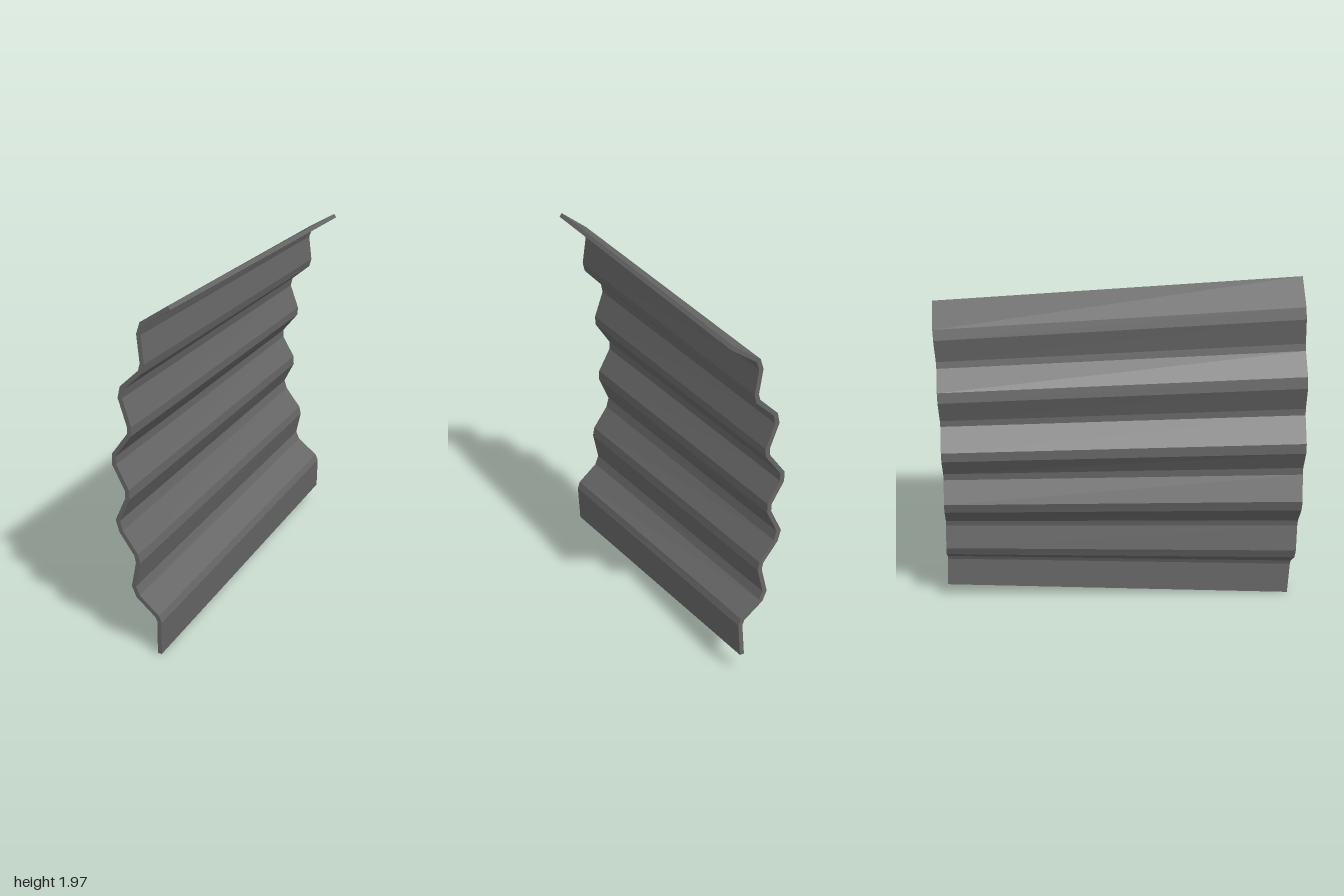
import * as THREE from 'three';

// Front-end profile of the sheet's +x face, from the bottom edge to the top edge
const PROFILE = [
  [0.082, 0.003], [0.09, 0.2], [0.075, 0.24], [-0.035, 0.335], [-0.055, 0.385],
  [-0.025, 0.53], [-0.035, 0.58], [-0.12, 0.7], [-0.135, 0.755], [-0.075, 0.89],
  [-0.077, 0.945], [-0.147, 1.075], [-0.147, 1.122], [-0.057, 1.25], [-0.055, 1.3],
  [-0.105, 1.447], [-0.095, 1.497], [0.01, 1.6], [0.022, 1.65], [0.003, 1.8],
  [0.018, 1.85], [0.167, 1.955],
].map(([x, y]) => new THREE.Vector2(x, y));
const THICKNESS = 0.024;

// Mitred offset of an open profile towards -x
function offsetProfile(points, distance) {
  const normal = (a, b) => new THREE.Vector2(a.y - b.y, b.x - a.x).normalize();
  return points.map((p, i) => {
    const before = normal(points[Math.max(i - 1, 0)], points[Math.max(i, 1)]);
    const last = points.length - 1;
    const after = normal(points[Math.min(i, last - 1)], points[Math.min(i + 1, last)]);
    const miter = before.clone().add(after).normalize();
    return p.clone().addScaledVector(miter, distance / miter.dot(after));
  });
}

export function createModel() {
  const group = new THREE.Group();
  group.name = 'corrugatedPanel';

  const outline = [...PROFILE, ...offsetProfile(PROFILE, THICKNESS).reverse()];
  const geometry = new THREE.ExtrudeGeometry(new THREE.Shape(outline), {
    depth: 1, bevelEnabled: false,
  });

  // Taper the sheet towards the back and bow both ends slightly
  const pos = geometry.attributes.position;
  for (let i = 0; i < pos.count; i++) {
    const y = pos.getY(i);
    const t = pos.getZ(i); // 0 at the back, 1 at the front
    const bow = 0.025 * ((y - 0.99) / 0.985) ** 2;
    pos.setY(i, 0.99 + (y - 0.99) * THREE.MathUtils.lerp(0.891, 1, t));
    pos.setZ(i, THREE.MathUtils.lerp(-0.975, 1, t) - bow);
  }
  geometry.computeVertexNormals();
  geometry.computeBoundingBox();
  geometry.translate(0, -geometry.boundingBox.min.y, 0);

  const sheet = new THREE.Mesh(
    geometry,
    new THREE.MeshStandardMaterial({ color: 0x666666, flatShading: true }),
  );
  sheet.name = 'corrugatedSheet';
  group.add(sheet);
  return group;
}
